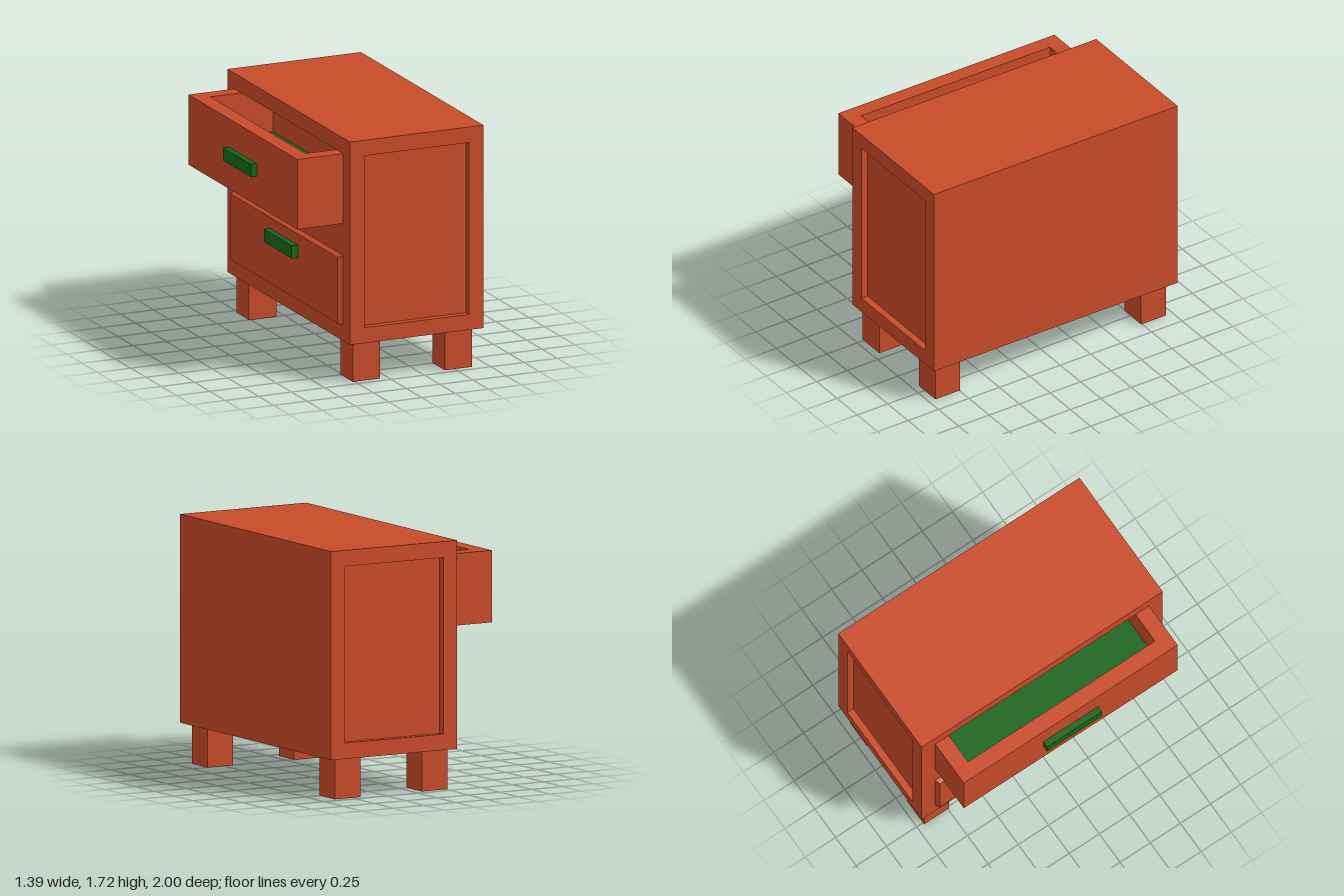
import * as THREE from 'three';

const wood = new THREE.MeshStandardMaterial({ color: 0xc84b28, flatShading: true });
const green = new THREE.MeshStandardMaterial({ color: 0x17651a, flatShading: true });

// Closed polygon from a list of [x, y] points
const outline = (points, Kind = THREE.Shape) => new Kind(points.map(([x, y]) => new THREE.Vector2(x, y)));
const rect = (x0, x1, y0, y1, Kind) => outline([[x0, y0], [x1, y0], [x1, y1], [x0, y1]], Kind);
const extrude = (shape, depth) => new THREE.ExtrudeGeometry(shape, { depth, bevelEnabled: false });

function add(parent, name, geometry, material = wood) {
  const mesh = new THREE.Mesh(geometry, material);
  mesh.name = name;
  parent.add(mesh);
  return mesh;
}

// Box given by its limits on each axis
function box(parent, name, [x0, x1], [y0, y1], [z0, z1], material) {
  const mesh = add(parent, name, new THREE.BoxGeometry(x1 - x0, y1 - y0, z1 - z0), material);
  mesh.position.set((x0 + x1) / 2, (y0 + y1) / 2, (z0 + z1) / 2);
  return mesh;
}

export function createModel() {
  const model = new THREE.Group();
  model.name = 'nightstand';

  const L = -0.31, R = 0.695, B = 0.282, T = 1.724; // carcass limits
  const drawerB = 1.115, drawerT = 1.613, drawerZ = 0.887;
  const drawerFront = -0.655, drawerBack = 0.04, wall = 0.112;

  // Carcass core: side profile with a notch where the upper drawer slides
  const carcass = new THREE.Group();
  carcass.name = 'carcass';
  model.add(carcass);
  const profile = outline([
    [L, B], [R, B], [R, T], [L, T],
    [L, drawerT], [drawerBack, drawerT], [drawerBack, drawerB], [L, drawerB],
  ]);
  add(carcass, 'core', extrude(profile, drawerZ * 2)).position.z = -drawerZ;

  // Ends: solid slab plus a raised frame around the recessed panel
  const frame = rect(L, R, B, T);
  frame.holes.push(rect(-0.2, 0.585, 0.392, 1.613, THREE.Path));
  for (const s of [1, -1]) {
    const inner = s * drawerZ, panel = s * 0.95;
    box(carcass, 'endPanel', [L, R], [B, T], [Math.min(inner, panel), Math.max(inner, panel)]);
    add(carcass, 'endFrame', extrude(frame, 0.05)).position.z = s > 0 ? 0.95 : -1;
  }

  // Pulled-out upper drawer: four walls, base and coloured lining
  const drawer = new THREE.Group();
  drawer.name = 'upperDrawer';
  model.add(drawer);
  const walls = rect(drawerFront, drawerBack, -drawerZ, drawerZ);
  const innerZ = drawerZ - wall;
  walls.holes.push(rect(drawerFront + wall, drawerBack - wall, -innerZ, innerZ, THREE.Path));
  const wallMesh = add(drawer, 'drawerWalls', extrude(walls, drawerT - drawerB));
  wallMesh.rotation.x = -Math.PI / 2;
  wallMesh.position.y = drawerB;
  const innerX = [drawerFront + wall, drawerBack - wall];
  box(drawer, 'drawerBase', innerX, [drawerB, 1.22], [-innerZ, innerZ]);
  box(drawer, 'drawerLining', innerX, [1.22, 1.31], [-innerZ, innerZ], green);

  // Closed lower drawer: front tapering slightly outwards
  const lower = box(model, 'lowerDrawerFront', [-0.345, L], [0.392, 0.89], [-drawerZ, drawerZ]);
  const pos = lower.geometry.attributes.position;
  for (let i = 0; i < pos.count; i++) {
    if (pos.getX(i) > 0) continue;
    pos.setY(i, pos.getY(i) - Math.sign(pos.getY(i)) * 0.015);
    pos.setZ(i, pos.getZ(i) - Math.sign(pos.getZ(i)) * 0.015);
  }
  lower.geometry.computeVertexNormals();

  // Handles
  box(model, 'upperHandle', [-0.7, drawerFront], [1.321, 1.412], [-0.227, 0.227], green);
  box(model, 'lowerHandle', [-0.392, -0.345], [0.705, 0.797], [-0.227, 0.227], green);

  // Legs
  for (const x of [-0.162, 0.53]) {
    for (const z of [-0.845, 0.845]) {
      box(model, 'leg', [x - 0.102, x + 0.102], [0, B], [z - 0.102, z + 0.102]);
    }
  }
  return model;
}
